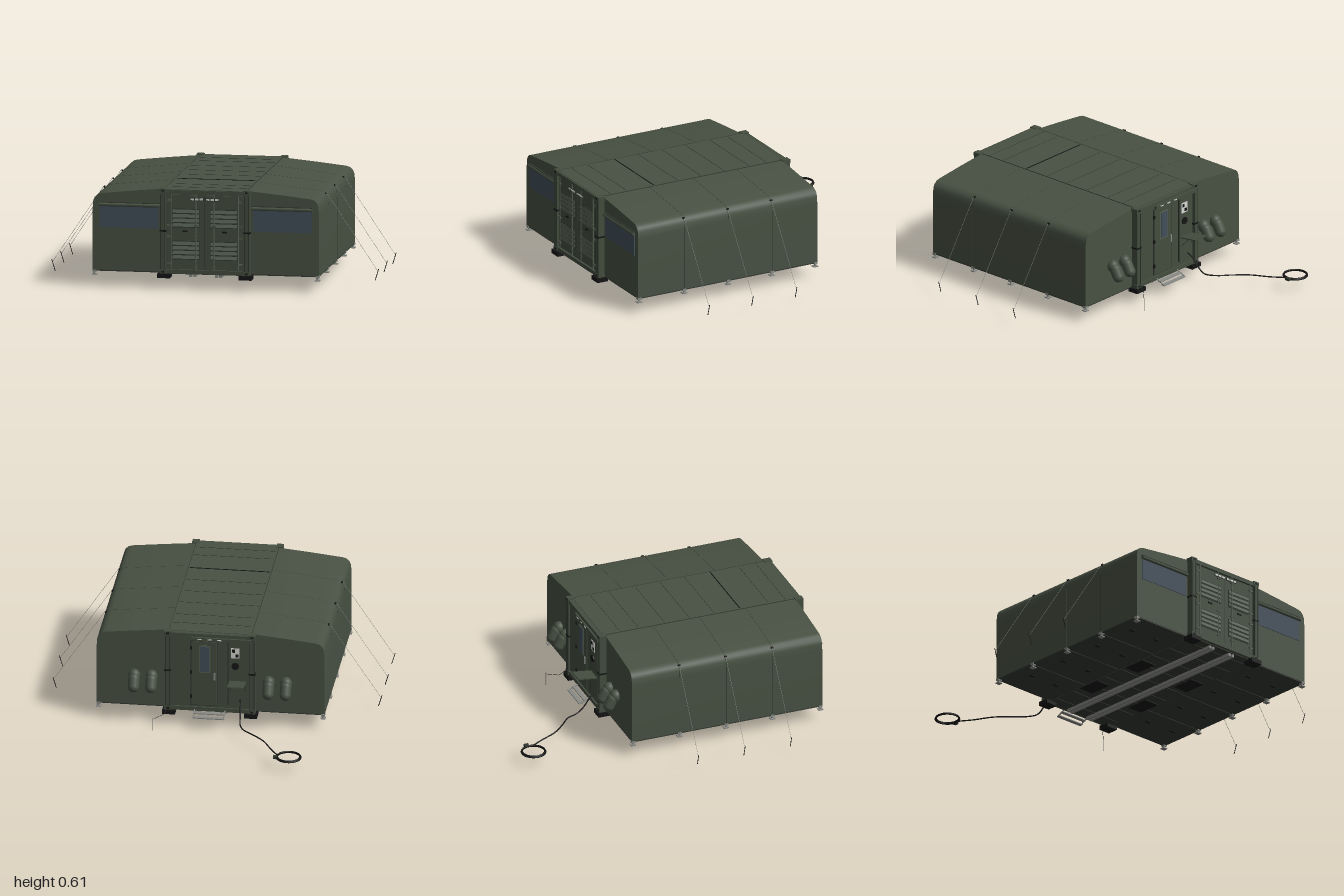
import * as THREE from 'three';
import { toCreasedNormals } from 'three/addons/utils/BufferGeometryUtils.js';

const mat = (name, color) => {
  const m = new THREE.MeshStandardMaterial({ color });
  m.name = name;
  return m;
};

export function createModel() {
  const canvas = mat('olive canvas', 0x485143);
  const paint = mat('olive paint', 0x444d3f);
  const lightPaint = mat('light olive metal', 0x565f50);
  const trim = mat('dark olive trim', 0x30372d);
  const floorMat = mat('dark floor', 0x353933);
  const black = mat('black rubber', 0x141514);
  const glass = mat('blue grey window', 0x424e5a);
  const steel = mat('grey steel', 0x8a8c87);
  const white = mat('off white', 0xd6d8d2);

  const root = new THREE.Group();
  root.name = 'expandableShelter';

  const add = (name, geo, m, x = 0, y = 0, z = 0, parent = root) => {
    const mesh = new THREE.Mesh(geo, m);
    mesh.name = name;
    mesh.position.set(x, y, z);
    parent.add(mesh);
    return mesh;
  };
  const box = (name, m, w, h, d, x, y, z, parent) =>
    add(name, new THREE.BoxGeometry(w, h, d), m, x, y, z, parent);
  // Thin cylinder between two points
  const rod = (name, m, r, a, b, parent) => {
    const p = new THREE.Vector3(...a), q = new THREE.Vector3(...b);
    const mesh = add(name, new THREE.CylinderGeometry(r, r, p.distanceTo(q), 8), m, 0, 0, 0, parent);
    mesh.position.copy(p).add(q).multiplyScalar(0.5);
    mesh.quaternion.setFromUnitVectors(new THREE.Vector3(0, 1, 0), q.sub(p).normalize());
    return mesh;
  };

  // Central container body and roof
  box('containerBody', paint, 0.5, 0.49, 1.285, 0, 0.347, 0.3025);
  box('containerRoof', canvas, 0.5, 0.016, 1.27, 0, 0.6, 0.315);
  box('roofBar', black, 0.48, 0.004, 0.005, 0, 0.609, 0.565);
  for (const z of [-0.21, -0.09, 0.08, 0.24, 0.4, 0.75, 0.86]) box('roofSeam', trim, 0.48, 0.002, 0.002, 0, 0.6085, z);

  // Container end frames: posts, castings, pads and cross bars
  for (const z of [0.94, -0.33]) {
    const out = Math.sign(z);
    for (const s of [-1, 1]) {
      box('cornerPost', paint, 0.035, 0.5, 0.045, s * 0.256, 0.35, z);
      for (const x of [0.243, 0.268]) box('postGroove', trim, 0.005, 0.46, 0.003, s * x, 0.35, z + out * 0.0225);
      for (const y of [0.6, 0.106])
        box('cornerCasting', paint, 0.042, 0.024, 0.049, s * 0.255, y, z);
      for (const y of [0.6, 0.106])
        box('castingSlot', black, 0.016, 0.011, 0.002, s * 0.255, y, z + out * 0.025);
      box('footPad', black, 0.078, 0.026, 0.07, s * 0.248, 0.082, z);
      box('postLatch', black, 0.04, 0.01, 0.049, s * 0.256, 0.355, z);
    }
    box('topRail', paint, 0.48, 0.025, 0.04, 0, 0.593, z);
    box('bottomRail', paint, 0.48, 0.025, 0.04, 0, 0.108, z);
  }

  // Front cargo doors with louvres and lock rods
  for (const s of [-1, 1]) {
    const door = new THREE.Group();
    door.name = 'cargoDoor';
    root.add(door);
    box('doorPanel', paint, 0.228, 0.45, 0.008, s * 0.117, 0.35, 0.948, door);
    for (const y of [0.24, 0.435]) {
      box('ventBack', trim, 0.165, 0.115, 0.004, s * 0.115, y, 0.953, door);
      for (let i = 0; i < 4; i++) {
        const slat = box('louvre', lightPaint, 0.16, 0.021, 0.005, s * 0.115, y - 0.042 + i * 0.028, 0.957, door);
        slat.rotation.x = -0.3;
      }
    }
    for (const x of [0.055, 0.205]) rod('lockRod', lightPaint, 0.004, [s * x, 0.12, 0.96], [s * x, 0.585, 0.96], door);
    for (const y of [0.16, 0.32, 0.39, 0.54]) {
      box('hinge', lightPaint, 0.03, 0.01, 0.006, s * 0.215, y, 0.957, door);
      box('rodGuide', paint, 0.022, 0.01, 0.006, s * 0.055, y, 0.96, door);
    }
    box('latch', black, 0.03, 0.009, 0.006, s * 0.12, 0.355, 0.957, door);
    box('markerBack', trim, 0.085, 0.018, 0.003, s * 0.047, 0.553, 0.964, door);
    for (let i = 0; i < 3; i++)
      box('markerPlate', white, 0.021, 0.011, 0.003, s * (0.02 + i * 0.027), 0.553, 0.966, door);
  }
  box('doorGap', trim, 0.004, 0.45, 0.003, 0, 0.35, 0.9525);

  // Roof line of the side tents, from container to wall foot
  const roofCurve = [[0.25, 0.606], [0.45, 0.587], [0.635, 0.567], [0.66, 0.56], [0.678, 0.543], [0.687, 0.52], [0.69, 0.48], [0.69, 0.1]];

  for (const s of [-1, 1]) {
    const side = new THREE.Group();
    side.name = s > 0 ? 'leftTent' : 'rightTent';
    root.add(side);

    // Canvas body
    const shape = new THREE.Shape([[0.25, 0.1], ...roofCurve].map(([x, y]) => new THREE.Vector2(s * x, y)));
    const geo = new THREE.ExtrudeGeometry(shape, { depth: 1.23, bevelEnabled: false });
    add('tentCanvas', toCreasedNormals(geo, 0.6), canvas, 0, 0, -0.31, side);
    box('tentFloor', floorMat, 0.434, 0.008, 1.226, s * 0.472, 0.097, 0.305, side);

    // Seam straps over the roof and down the wall
    for (const z of [0, 0.3, 0.6])
      for (let i = 0; i < roofCurve.length - 1; i++) {
        const [ax, ay] = roofCurve[i], [bx, by] = roofCurve[i + 1];
        rod('seam', trim, 0.0009, [s * ax, ay, z], [s * bx, by, z], side);
      }
    box('roofJoint', trim, 0.003, 0.004, 1.24, s * 0.251, 0.607, 0.305, side);

    // Front window with rolled flap
    box('window', glass, 0.36, 0.13, 0.006, s * 0.468, 0.425, 0.921, side);
    rod('rolledFlap', canvas, 0.011, [s * 0.28, 0.5, 0.926], [s * 0.65, 0.5, 0.926], side);
    box('flapStrip', trim, 0.37, 0.004, 0.014, s * 0.465, 0.513, 0.924, side);

    // Levelling feet
    for (const z of [-0.3, 0, 0.3, 0.6, 0.91]) {
      box('legBracket', steel, 0.024, 0.014, 0.024, s * 0.68, 0.094, z, side);
      rod('leg', steel, 0.006, [s * 0.68, 0.07, z], [s * 0.68, 0.1, z], side);
      box('legPlate', steel, 0.03, 0.006, 0.03, s * 0.68, 0.072, z, side);
    }

    // Guy ropes and stakes
    for (const z of [0, 0.3, 0.6]) {
      rod('guyRope', steel, 0.001, [s * 0.68, 0.555, z], [s * 0.993, 0.085, z], side);
      rod('stake', black, 0.0022, [s * 0.976, 0.03, z], [s * 0.997, 0.1, z], side);
      box('ropeAnchor', black, 0.008, 0.008, 0.016, s * 0.675, 0.552, z, side);
    }

    // Drooping air duct sleeves on the rear wall
    for (const x of [0.355, 0.46]) {
      const duct = new THREE.Group();
      duct.name = 'airDuct';
      duct.position.set(s * x, 0, 0);
      side.add(duct);
      const collar = add('ductCollar', new THREE.SphereGeometry(0.036, 20, 14), canvas, 0, 0.298, -0.325, duct);
      collar.scale.set(1, 1.1, 1);
      const bag = add('ductSleeve', new THREE.CapsuleGeometry(0.034, 0.05, 6, 16), canvas, 0, 0.262, -0.356, duct);
      bag.rotation.x = 0.5;
    }

    // Underside: ribs, cleats, dark recesses and twin skid rails
    for (const z of [0, 0.3, 0.6]) box('floorRib', trim, 0.42, 0.004, 0.006, s * 0.47, 0.092, z, side);
    for (const z of [-0.12, 0.16, 0.46, 0.76])
      for (const x of [0.38, 0.58]) box('floorCleat', black, 0.035, 0.004, 0.018, s * x, 0.092, z, side);
    for (const z of [0.03, 0.43]) box('liftPocket', black, 0.1, 0.008, 0.15, s * 0.2, 0.09, z, side);
    for (const x of [0.066, 0.092]) box('skidRail', steel, 0.017, 0.02, 1.25, s * x, 0.083, 0.305, side);
  }
  box('containerFloor', floorMat, 0.5, 0.01, 1.27, 0, 0.096, 0.305);
  for (let i = 0; i < 9; i++) box('crossMember', trim, 0.5, 0.005, 0.012, 0, 0.0905, -0.25 + i * 0.14);

  // Rear entrance door
  const rear = new THREE.Group();
  rear.name = 'rearEntrance';
  root.add(rear);
  box('doorFrame', trim, 0.164, 0.43, 0.006, 0.035, 0.345, -0.342, rear);
  box('entryDoor', paint, 0.154, 0.42, 0.008, 0.035, 0.345, -0.345, rear);
  box('doorWindowFrame', lightPaint, 0.07, 0.18, 0.004, 0.03, 0.44, -0.35, rear);
  box('doorWindow', glass, 0.054, 0.164, 0.004, 0.03, 0.44, -0.352, rear);
  box('doorHandle', steel, 0.01, 0.045, 0.01, -0.03, 0.33, -0.352, rear);
  for (const y of [0.19, 0.35, 0.51]) box('doorHinge', black, 0.01, 0.022, 0.01, 0.114, y, -0.347, rear);
  box('header', paint, 0.36, 0.02, 0.016, -0.07, 0.575, -0.354, rear);
  for (const x of [-0.06, 0, 0.06]) box('headerMark', white, 0.025, 0.006, 0.003, x, 0.575, -0.363, rear);

  // Service panel with fold-out shelf
  box('servicePanel', paint, 0.1, 0.4, 0.006, -0.165, 0.36, -0.345, rear);
  box('panelEdge', trim, 0.006, 0.42, 0.008, -0.112, 0.355, -0.345, rear);
  box('noticePlate', white, 0.052, 0.066, 0.003, -0.155, 0.49, -0.349, rear);
  for (const [x, y] of [[-0.144, 0.505], [-0.166, 0.475]]) box('noticeMark', black, 0.018, 0.02, 0.003, x, y, -0.351, rear);
  const port = add('powerPort', new THREE.CylinderGeometry(0.022, 0.022, 0.012, 20), black, -0.155, 0.405, -0.35, rear);
  port.rotation.x = Math.PI / 2;
  const shelf = box('shelf', paint, 0.1, 0.007, 0.125, -0.17, 0.31, -0.408, rear);
  shelf.rotation.x = 0.12;
  for (const x of [-0.215, -0.125]) rod('shelfStay', trim, 0.0015, [x, 0.24, -0.345], [x, 0.305, -0.41], rear);

  // Entry steps
  for (const [y, z] of [[0.092, -0.372], [0.076, -0.402]]) box('tread', steel, 0.19, 0.006, 0.025, 0, y, z, rear);
  for (const x of [-0.092, 0.092]) rod('stepStringer', steel, 0.004, [x, 0.105, -0.345], [x, 0.074, -0.412], rear);

  // Power cable with coil
  const path = [[-0.185, 0.185, -0.345], [-0.19, 0.165, -0.38], [-0.195, 0.11, -0.425], [-0.2, 0.077, -0.47], [-0.23, 0.075, -0.54],
    [-0.3, 0.075, -0.605], [-0.37, 0.075, -0.68], [-0.43, 0.075, -0.79], [-0.48, 0.077, -0.87]];
  const curve = new THREE.CatmullRomCurve3(path.map(p => new THREE.Vector3(...p)));
  add('powerCable', new THREE.TubeGeometry(curve, 60, 0.004, 8), black);
  for (const [r, y] of [[0.072, 0.077], [0.069, 0.082]]) {
    const coil = add('cableCoil', new THREE.TorusGeometry(r, 0.0055, 8, 48), black, -0.55, y, -0.89);
    coil.rotation.x = Math.PI / 2;
  }
  box('cablePlug', trim, 0.022, 0.016, 0.028, -0.469, 0.081, -0.905);

  // Earthing stake and lead
  rod('earthStake', steel, 0.002, [0.33, 0, -0.46], [0.33, 0.085, -0.46]);
  rod('earthLead', black, 0.0013, [0.33, 0.075, -0.46], [0.27, 0.085, -0.4]);
  rod('earthLeadEnd', black, 0.0013, [0.27, 0.085, -0.4], [0.25, 0.13, -0.352]);

  return root;
}
